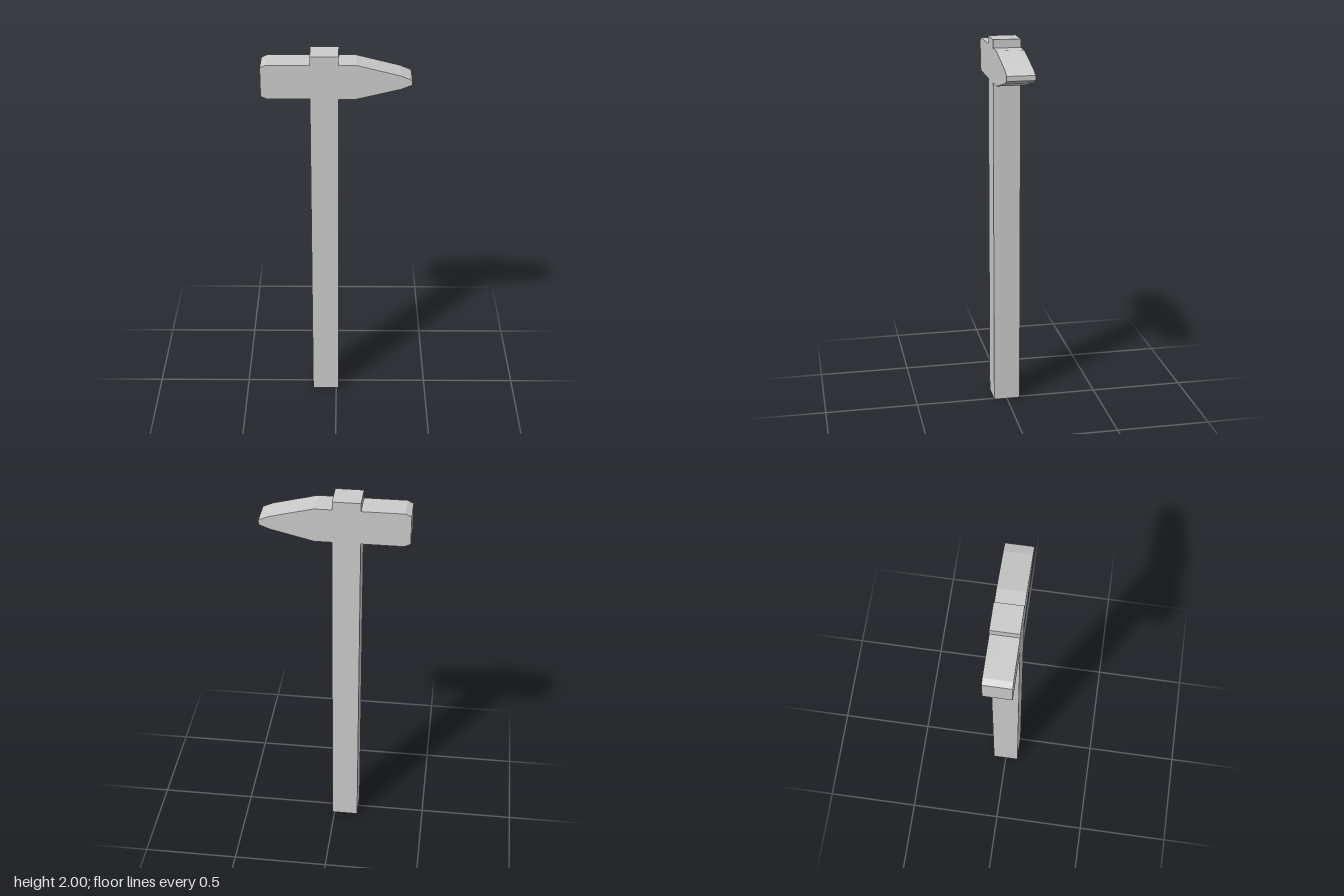
import * as THREE from 'three';

const DEPTH = 0.143;

export function createModel() {
  const group = new THREE.Group();
  group.name = 'hammer';
  const material = new THREE.MeshStandardMaterial({ color: 0xcccccc, flatShading: true });

  // Square handle, poking out above the head
  const handle = new THREE.Mesh(new THREE.BoxGeometry(0.142, 2, DEPTH), material);
  handle.name = 'handle';
  handle.position.set(-0.059, 1, 0);
  group.add(handle);

  // Head: chamfered striking face at -x, tapered wedge at +x
  const profile = [
    [-0.375, 1.793], [-0.345, 1.778], [0.1, 1.778], [0.32, 1.832], [0.375, 1.854],
    [0.375, 1.879], [0.32, 1.902], [0.1, 1.957], [-0.345, 1.957], [-0.375, 1.942],
  ];
  const shape = new THREE.Shape(profile.map(([x, y]) => new THREE.Vector2(x, y)));
  const headGeometry = new THREE.ExtrudeGeometry(shape, { depth: DEPTH, bevelEnabled: false });
  headGeometry.translate(0, 0, -DEPTH / 2);
  const head = new THREE.Mesh(headGeometry, material);
  head.name = 'head';
  group.add(head);

  return group;
}
